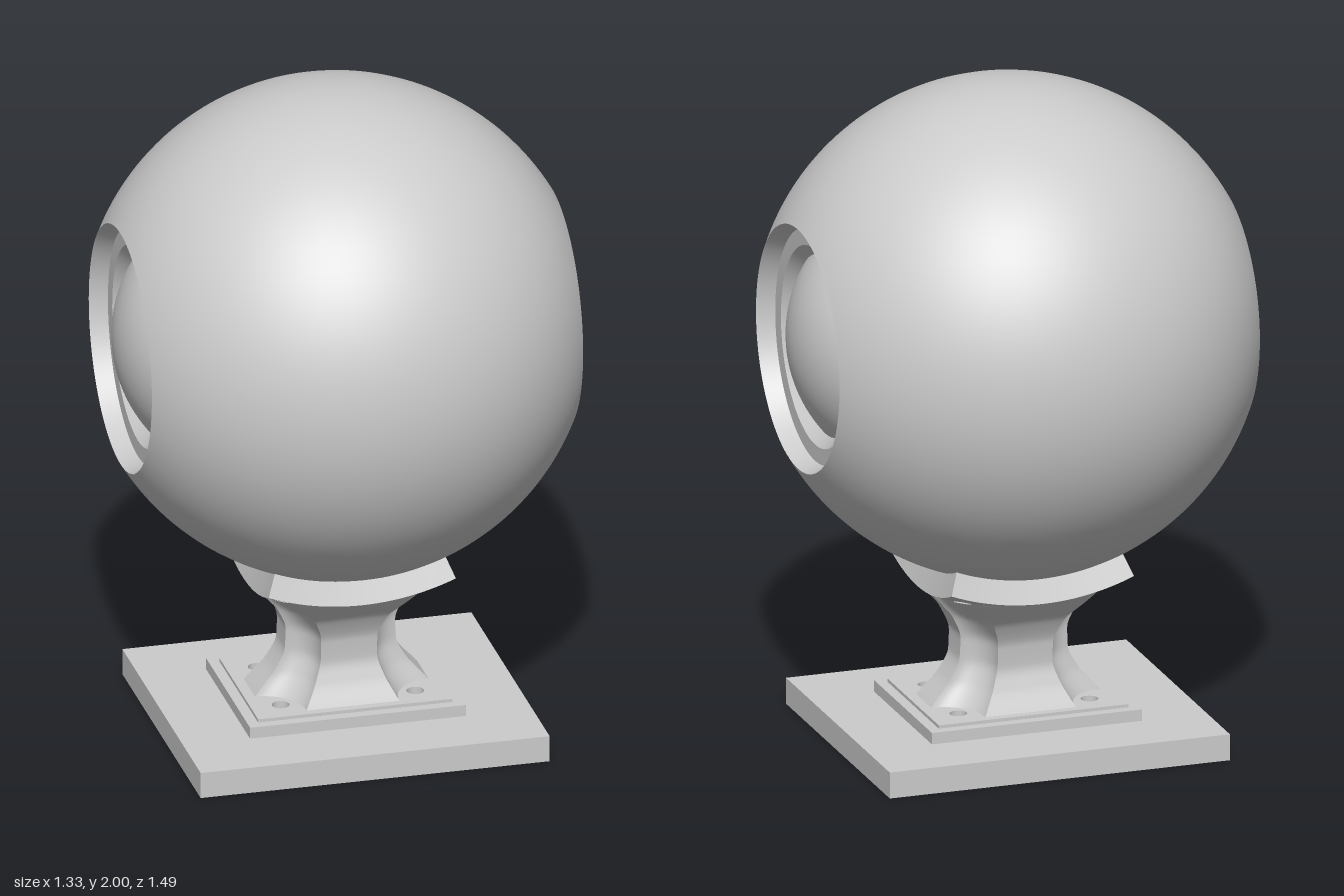
import * as THREE from 'three';

const CENTRE = 1.253;   // height of the ball's centre
const R = 0.747;        // ball radius
const HOLE = { x: 0.203, z: 0.14, r: 0.026 };

export function createModel() {
  const group = new THREE.Group();
  const material = new THREE.MeshStandardMaterial({ color: 0xcccccc });
  const add = (name, geometry, parent = group) => {
    const mesh = new THREE.Mesh(geometry, material);
    mesh.name = name;
    parent.add(mesh);
    return mesh;
  };
  const arc = (fn, n) => Array.from({ length: n + 1 }, (_, i) => fn(i / n));
  const lathe = (points) =>
    new THREE.LatheGeometry(points.map(([r, y]) => new THREE.Vector2(Math.max(r, 0), y)), 96).rotateZ(-Math.PI / 2);

  // Ball, cut flat on both sides
  const ball = new THREE.Group();
  ball.name = 'ball';
  ball.position.y = CENTRE;
  group.add(ball);
  const cut = Math.asin(0.65 / R);
  add('ballBody', lathe(arc((t) => {
    const a = cut * (2 * t - 1);
    return [R * Math.cos(a), R * Math.sin(a)];
  }, 64)), ball);

  // Stepped recess with a domed centre on each side
  const domeR = 0.42, domeTop = 0.663, domeA = Math.asin(0.27 / domeR);
  const domeBase = domeTop - domeR + domeR * Math.cos(domeA);
  const recess = {
    outerBevel: [[0.369, 0.65], [0.35, 0.597]],
    step: [[0.35, 0.597], [0.3, 0.597]],
    innerBevel: [[0.3, 0.597], [0.27, domeBase]],
    dome: arc((t) => {
      const a = domeA * (1 - t);
      return [domeR * Math.sin(a), domeTop - domeR + domeR * Math.cos(a)];
    }, 16),
  };
  for (const side of [0, Math.PI]) {
    const socket = new THREE.Group();
    socket.name = side ? 'rightSocket' : 'leftSocket';
    socket.rotation.z = side;
    ball.add(socket);
    for (const [name, points] of Object.entries(recess)) add(name, lathe(points), socket);
  }

  // Base slab and two stacked plates, drilled at four corners
  const plate = (name, hx, hz, y0, y1) => {
    const shape = new THREE.Shape([[-hx, -hz], [hx, -hz], [hx, hz], [-hx, hz]].map((p) => new THREE.Vector2(...p)));
    for (const sx of [-1, 1]) for (const sz of [-1, 1]) {
      shape.holes.push(new THREE.Path().absarc(sx * HOLE.x, sz * HOLE.z, HOLE.r, 0, Math.PI * 2, true));
    }
    const geometry = new THREE.ExtrudeGeometry(shape, { depth: y1 - y0, bevelEnabled: false, curveSegments: 20 });
    add(name, geometry.rotateX(-Math.PI / 2).translate(0, y0, 0));
  };
  plate('base', 0.526, 0.457, 0, 0.08);
  plate('lowerPlate', 0.325, 0.256, 0.08, 0.115);
  plate('upperPlate', 0.293, 0.225, 0.115, 0.125);

  // Cradle: a rectangular piece of spherical shell under the ball
  const shellR = 0.82;
  const cradle = new THREE.BoxGeometry(2, 2, 2, 24, 1, 24);
  const pos = cradle.attributes.position;
  for (let i = 0; i < pos.count; i++) {
    const x = 0.257 * pos.getX(i), z = 0.28 * pos.getZ(i);
    const k = pos.getY(i) > 0 ? 1 : shellR / R;
    pos.setXYZ(i, x * k, CENTRE - Math.sqrt(R * R - x * x - z * z) * k, z * k);
  }
  cradle.computeVertexNormals();
  add('cradle', cradle);

  // Bolts in the cradle's underside, square to the shell
  for (const sx of [-1, 1]) for (const sz of [-1, 1]) {
    const x = sx * 0.212, z = sz * 0.205;
    const dir = new THREE.Vector3(x, -Math.sqrt(shellR * shellR - x * x - z * z), z).normalize();
    const bolt = add('cradleBolt', new THREE.CylinderGeometry(0.026, 0.026, 0.012, 20));
    bolt.quaternion.setFromUnitVectors(new THREE.Vector3(0, 1, 0), dir);
    bolt.position.copy(dir).multiplyScalar(shellR - 0.003).add(new THREE.Vector3(0, CENTRE, 0));
  }

  // Waisted column with a hollow down each corner.
  // Each row: half width, half depth, front face half width, side face half width
  const rows = [
    [0.262, 0.2, 0.14, 0.066], [0.202, 0.168, 0.105, 0.054], [0.168, 0.151, 0.085, 0.05],
    [0.165, 0.156, 0.085, 0.052], [0.193, 0.19, 0.11, 0.064], [0.272, 0.292, 0.185, 0.09],
  ];
  const size = new THREE.CatmullRomCurve3(rows.map((r) => new THREE.Vector3(r[0], r[1], r[2])));
  const side = new THREE.CatmullRomCurve3(rows.map((r) => new THREE.Vector3(r[3], 0, 0)));
  const ARC = 12, LEVELS = 32;
  const corner = (t) => {
    const { x: hx, y: hz, z: fx } = size.getPoint(t), fz = side.getPoint(t).x;
    return arc((s) => {
      const a = s * Math.PI / 2;
      return [hx - (hx - fx) * Math.sin(a), hz - (hz - fz) * Math.cos(a)];
    }, ARC);
  };
  const ring = (t) => {
    const q = corner(t), back = [...q].reverse();
    return [...q, ...back.map(([x, z]) => [-x, z]), ...q.map(([x, z]) => [-x, -z]), ...back.map(([x, z]) => [x, -z])]
      .map(([x, z]) => {
        const top = CENTRE - Math.sqrt((shellR - 0.006) ** 2 - x * x - z * z);
        return [x, 0.124 + (top - 0.124) * t, z];
      });
  };
  const rings = arc(ring, LEVELS), count = rings[0].length;
  // One strip per face or hollow keeps the edges between them sharp
  const strip = (name, from, steps) => {
    const vertices = [], index = [], w = steps + 1;
    for (const r of rings) for (let j = 0; j <= steps; j++) vertices.push(...r[(from + j) % count]);
    for (let i = 0; i < LEVELS; i++) for (let j = 0; j < steps; j++) {
      const a = i * w + j, b = a + w;
      index.push(a, b, a + 1, a + 1, b, b + 1);
    }
    const geometry = new THREE.BufferGeometry();
    geometry.setAttribute('position', new THREE.Float32BufferAttribute(vertices, 3));
    geometry.setIndex(index);
    geometry.computeVertexNormals();
    add(name, geometry, column);
  };
  const column = new THREE.Group();
  column.name = 'column';
  group.add(column);
  for (let k = 0; k < 4; k++) {
    strip('columnHollow', k * (ARC + 1), ARC);
    strip('columnFace', k * (ARC + 1) + ARC, 1);
  }
  return group;
}
